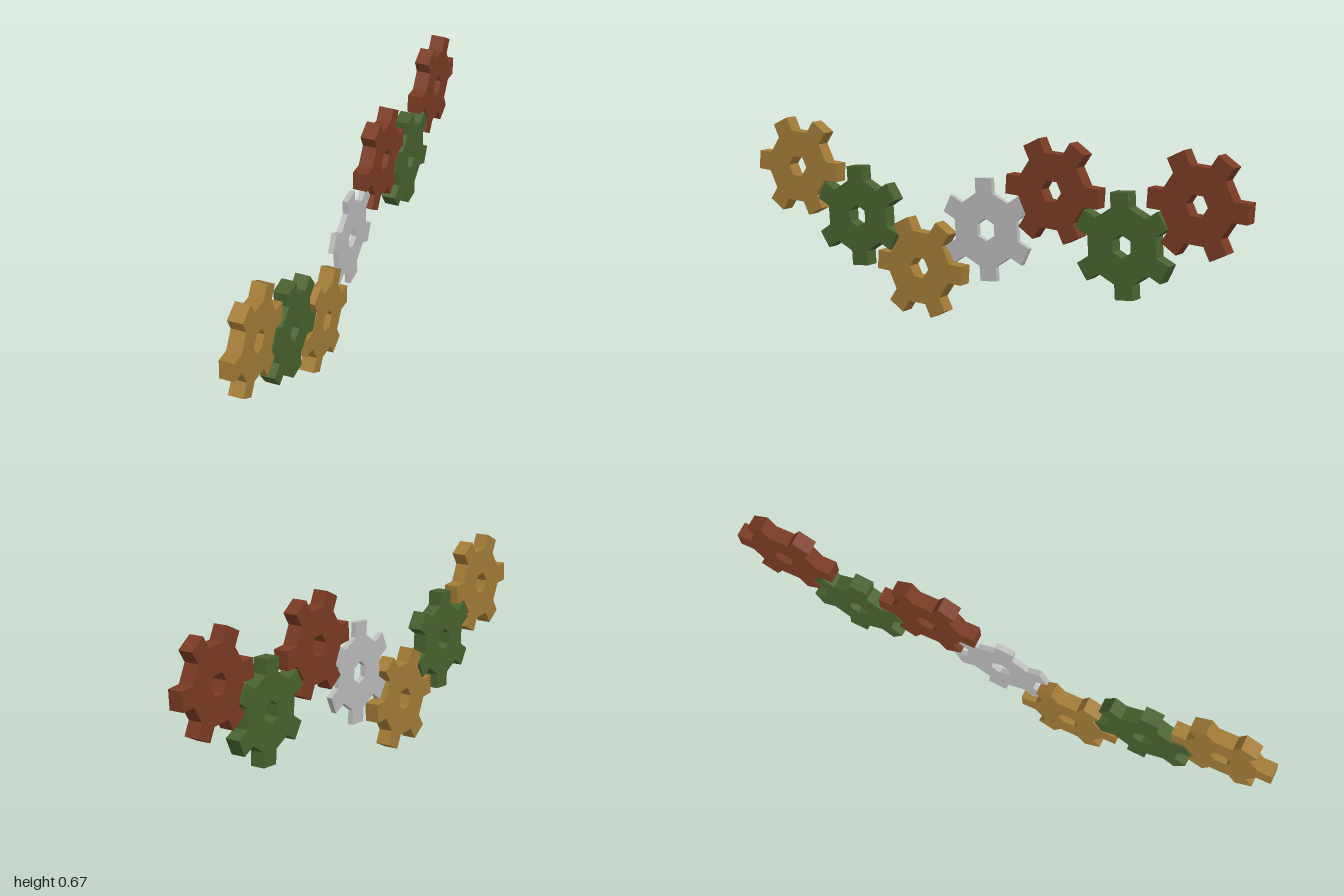
import * as THREE from 'three';

const TEETH = 6;
const TIP = 0.18;      // centre to flat tooth tip
const ROOT = 0.128;    // centre to tooth root
const HALF = 0.0338;   // half tooth width
const HOLE = 0.04;     // radius of the hexagonal bore

// Gear with six straight teeth and a hexagonal bore, lying in the YZ plane
function gearGeometry(thickness, phase) {
  const outline = [], bore = [];
  for (let i = 0; i < TEETH; i++) {
    const a = phase + (i * 2 * Math.PI) / TEETH;
    const c = Math.cos(a), s = Math.sin(a);
    for (const [u, v] of [[ROOT, -HALF], [TIP, -HALF], [TIP, HALF], [ROOT, HALF]]) {
      outline.push(new THREE.Vector2(u * c - v * s, u * s + v * c));
    }
    bore.push(new THREE.Vector2(HOLE * c, HOLE * s));
  }
  const shape = new THREE.Shape(outline);
  shape.holes.push(new THREE.Path(bore));
  const geo = new THREE.ExtrudeGeometry(shape, { depth: thickness, bevelEnabled: false });
  geo.translate(0, 0, -thickness / 2);
  geo.rotateY(-Math.PI / 2);
  return geo;
}

export function createModel() {
  const group = new THREE.Group();
  group.name = 'gearTrain';

  const material = (name, color) => {
    const m = new THREE.MeshStandardMaterial({ color });
    m.name = name;
    return m;
  };
  const gold = material('gold', 0xa37c37);
  const green = material('green', 0x48622f);
  const grey = material('grey', 0xbcbcbc);
  const red = material('red', 0x7b3c24);

  // Neighbouring gears turn opposite ways so that their teeth mesh
  const tilt = THREE.MathUtils.degToRad(3.8);
  const even = tilt, odd = Math.PI / 2 - tilt;
  const wide = 0.052, thin = 0.019;
  const pitch = 0.2727;

  // name, material, steps along z, height, tooth phase, thickness
  const gears = [
    ['frontGoldGear', gold, 3, 0.4975, even, wide],
    ['frontGreenGear', green, 2, 0.3375, odd, wide],
    ['lowerGoldGear', gold, 1, 0.1775, even, wide],
    ['thinGreyGear', grey, 0, 0.3375, odd, thin],
    ['middleRedGear', red, -1, 0.4975, even, wide],
    ['rearGreenGear', green, -2, 0.3375, odd, wide],
    ['rearRedGear', red, -3, 0.4975, even, wide],
  ];
  for (const [name, mat, step, y, phase, thickness] of gears) {
    const gear = new THREE.Mesh(gearGeometry(thickness, phase), mat);
    gear.name = name;
    gear.position.set(0, y, step * pitch);
    group.add(gear);
  }
  return group;
}
